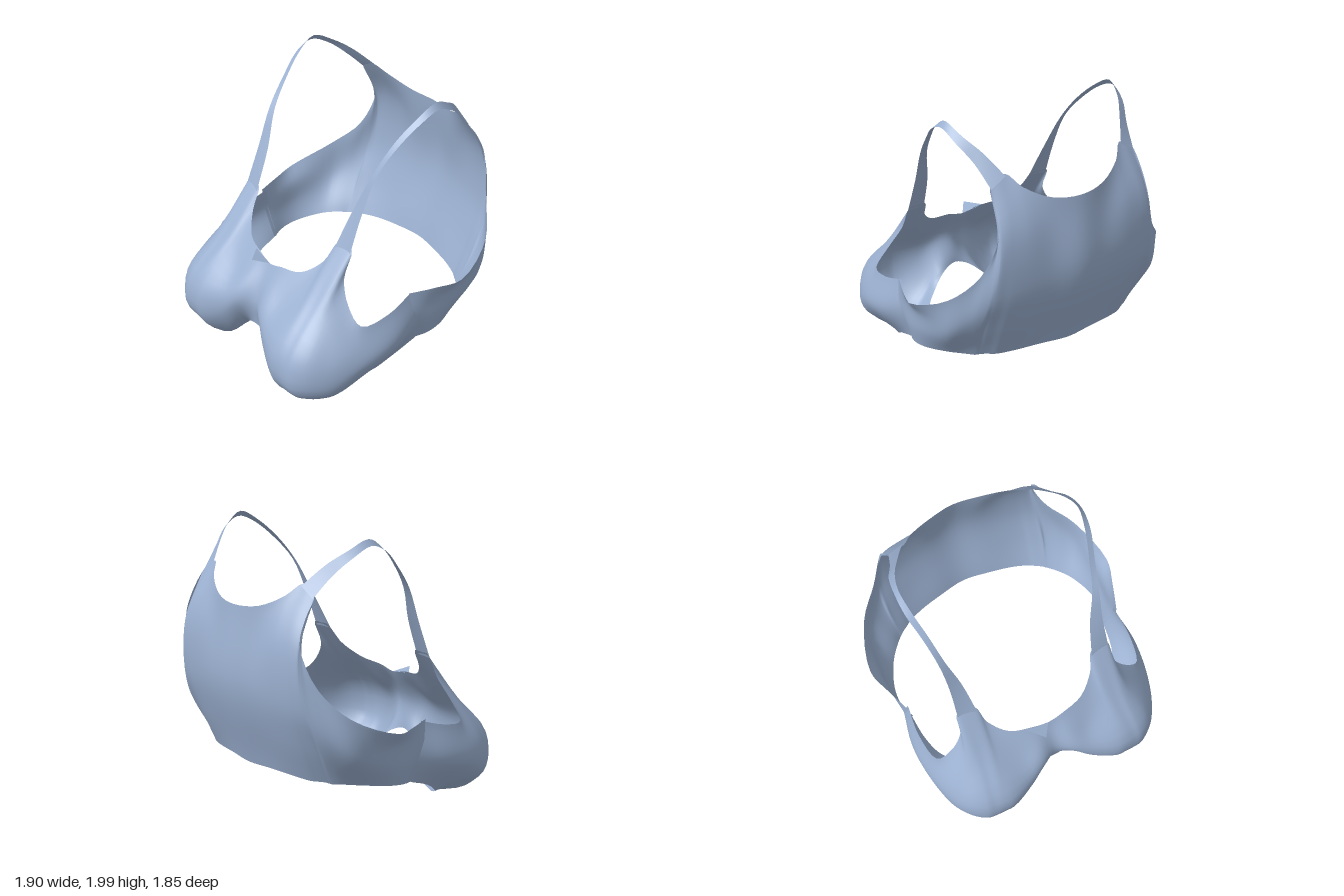
import * as THREE from 'three';

const fabric = new THREE.MeshStandardMaterial({ color: 0x9bb0d0, side: THREE.DoubleSide });
fabric.name = 'blue fabric';

const curve = (pts) => new THREE.CatmullRomCurve3(pts.map((p) => (p.isVector3 ? p : new THREE.Vector3(...p))));
const mirrorX = ([x, y, z]) => [-x, y, z];

// Smooth cloth sheet through a list of cross-sections (each running hem to top)
function sheet(name, sections, nu, nv) {
  const curves = sections.map(curve);
  const pos = [];
  const index = [];
  for (let j = 0; j <= nv; j++) {
    const row = curve(curves.map((c) => c.getPoint(j / nv)));
    for (let i = 0; i <= nu; i++) pos.push(...row.getPoint(i / nu).toArray());
  }
  for (let j = 0; j < nv; j++) {
    for (let i = 0; i < nu; i++) {
      const a = j * (nu + 1) + i;
      const b = a + nu + 1;
      index.push(a, a + 1, b + 1, a, b + 1, b);
    }
  }
  const g = new THREE.BufferGeometry();
  g.setAttribute('position', new THREE.Float32BufferAttribute(pos, 3));
  g.setIndex(index);
  g.computeVertexNormals();
  const mesh = new THREE.Mesh(g, fabric);
  mesh.name = name;
  return mesh;
}

// Half sections (centre outward) completed to both sides, running -x to +x
const bothSides = (half) => [...half.slice(1).reverse().map((s) => s.map(mirrorX)), ...half];

// Front: centre, then across the cup to the strap
const cupSections = [
  [[0, .32, .72], [0, .54, .735], [0, .79, .60]],
  [[.11, .28, .70], [.12, .51, .795], [.12, .82, .59]],
  [[.27, .14, .62], [.26, .14, .74], [.25, .32, .85], [.25, .49, .84], [.26, .66, .70], [.28, .85, .55]],
  [[.36, .11, .52], [.42, .01, .70], [.42, .20, .90], [.42, .46, .90], [.41, .74, .645], [.40, .96, .45]],
  [[.42, .10, .48], [.50, .03, .68], [.50, .20, .90], [.50, .46, .90], [.46, .78, .62], [.445, 1.10, .36]],
  [[.46, .09, .46], [.56, .05, .67], [.56, .20, .90], [.56, .46, .89], [.52, .77, .62], [.51, 1.10, .36]],
  [[.50, .08, .45], [.63, .07, .66], [.63, .20, .89], [.62, .46, .88], [.58, .75, .63], [.575, 1.10, .35]],
];
// Front: under the armhole to the side seam
const sideSections = [
  [[.56, .08, .42], [.72, .11, .62], [.73, .22, .82], [.72, .45, .82], [.66, .68, .64], [.595, .92, .43]],
  [[.62, .10, .38], [.81, .21, .67], [.81, .43, .69], [.69, .77, .47]],
  [[.72, .16, .30], [.885, .38, .47], [.80, .66, .45]],
  [[.78, .26, .16], [.90, .46, .23], [.84, .69, .25]],
  [[.80, .34, -.03], [.85, .56, 0], [.82, .76, .04]],
];
// Back: centre to the strap
const backSections = [
  [[0, .45, -.76], [0, 1.03, -.92], [0, 1.56, -.86]],
  [[.20, .45, -.73], [.20, 1.02, -.89], [.20, 1.58, -.82]],
  [[.39, .44, -.69], [.39, .73, -.80], [.38, 1.01, -.87], [.37, 1.37, -.855], [.36, 1.66, -.74]],
  [[.50, .43, -.65], [.51, .72, -.77], [.50, 1.00, -.85], [.475, 1.40, -.835], [.44, 1.74, -.66]],
  [[.54, .43, -.625], [.56, .71, -.745], [.555, .99, -.835], [.525, 1.39, -.83], [.495, 1.715, -.66]],
  [[.58, .43, -.60], [.61, .70, -.72], [.60, .97, -.82], [.57, 1.36, -.825], [.55, 1.68, -.66]],
];
// Back: along the armhole to the side seam
const backSideSections = [
  [[.60, .425, -.585], [.63, .68, -.70], [.63, .93, -.80], [.59, 1.27, -.825], [.565, 1.56, -.745]],
  [[.62, .42, -.57], [.66, .86, -.77], [.58, 1.40, -.81]],
  [[.66, .42, -.53], [.73, .77, -.70], [.68, 1.12, -.75]],
  [[.74, .41, -.43], [.83, .65, -.56], [.84, .93, -.61]],
  [[.82, .38, -.25], [.86, .53, -.29], [.885, .69, -.30], [.95, .79, -.30]],
  [[.83, .36, -.12], [.86, .50, -.12], [.87, .66, -.12], [.90, .775, -.12]],
  [[.79, .34, 0], [.85, .56, .03], [.83, .77, .07]],
];
// Strap edges from front to back
const strapNeckEdge = [
  [.44, 1.07, .385], [.48, 1.35, .25], [.54, 1.60, .14], [.58, 1.79, 0], [.62, 1.93, -.15],
  [.635, 2.0, -.28], [.60, 1.94, -.42], [.53, 1.86, -.54], [.445, 1.73, -.675],
];
const strapArmEdge = [
  [.577, 1.07, .37], [.57, 1.35, .26], [.585, 1.60, .15], [.62, 1.78, 0], [.66, 1.91, -.15],
  [.665, 1.96, -.28], [.645, 1.90, -.42], [.59, 1.80, -.54], [.55, 1.665, -.675],
];

export function createModel() {
  const model = new THREE.Group();
  model.name = 'cropTop';

  model.add(sheet('frontPanel', bothSides([...cupSections, ...sideSections]), 88, 20));
  model.add(sheet('backPanel', bothSides([...backSections, ...backSideSections]).reverse(), 96, 20));

  // Shoulder straps
  model.add(sheet('leftStrap', [strapNeckEdge, strapArmEdge], 3, 32));
  model.add(sheet('rightStrap', [strapArmEdge.map(mirrorX), strapNeckEdge.map(mirrorX)], 3, 32));

  // Small folded corner at the middle of the neckline
  const fold = new THREE.BufferGeometry();
  fold.setAttribute('position', new THREE.Float32BufferAttribute(
    [-.17, .82, .59, -.07, .825, .70, 0, .79, .60], 3));
  fold.computeVertexNormals();
  const foldMesh = new THREE.Mesh(fold, fabric);
  foldMesh.name = 'necklineFold';
  model.add(foldMesh);

  return model;
}
